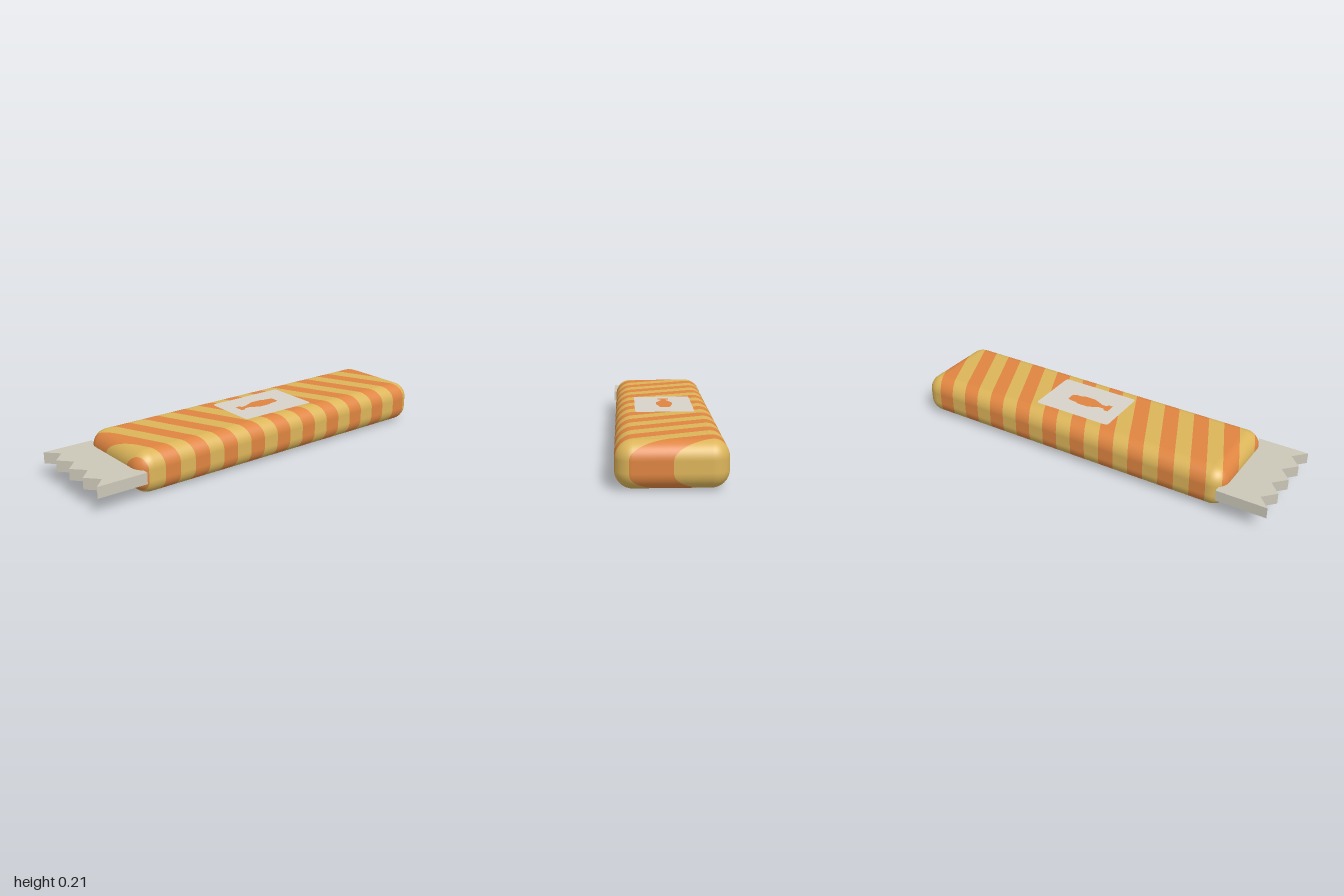
import * as THREE from 'three';
import { RoundedBoxGeometry } from 'three/addons/geometries/RoundedBoxGeometry.js';

const paint = (name, color, side = THREE.FrontSide) => {
  const m = new THREE.MeshStandardMaterial({ color, side });
  m.name = name;
  return m;
};

// Diagonal stripes: bands of (z + SLOPE * x), alternating every BAND
const SLOPE = 0.445, BAND = 0.0832, START = 0.7455;
const across = (v) => (v[2] + SLOPE * v[0] - START) / BAND;

// Keep the part of a polygon where sign * (across - limit) >= 0
function clip(poly, limit, sign) {
  const out = [];
  poly.forEach((a, i) => {
    const b = poly[(i + 1) % poly.length];
    const da = sign * (across(a) - limit), db = sign * (across(b) - limit);
    if (da >= 0) out.push(a);
    if ((da > 0 && db < 0) || (da < 0 && db > 0)) {
      const t = da / (da - db);
      out.push(a.map((n, k) => n + (b[k] - n) * t));
    }
  });
  return out;
}

// Cut a geometry along the stripe edges into two geometries: even and odd bands
function splitIntoStripes(source) {
  const geo = source.index ? source.toNonIndexed() : source;
  const p = geo.attributes.position, n = geo.attributes.normal;
  const lists = [[], []];
  for (let i = 0; i < p.count; i += 3) {
    const tri = [i, i + 1, i + 2].map((j) =>
      [p.getX(j), p.getY(j), p.getZ(j), n.getX(j), n.getY(j), n.getZ(j)]);
    const s = tri.map(across);
    for (let band = Math.floor(Math.min(...s)); band <= Math.max(...s); band++) {
      const poly = clip(clip(tri, band, 1), band + 1, -1);
      for (let k = 1; k + 1 < poly.length; k++) {
        lists[Math.abs(band % 2)].push(poly[0], poly[k], poly[k + 1]);
      }
    }
  }
  return lists.map((list) => {
    const g = new THREE.BufferGeometry();
    g.setAttribute('position', new THREE.Float32BufferAttribute(list.flatMap((v) => v.slice(0, 3)), 3));
    g.setAttribute('normal', new THREE.Float32BufferAttribute(list.flatMap((v) => v.slice(3)), 3));
    return g;
  });
}

function roundedRect(x0, y0, x1, y1, r) {
  const s = new THREE.Shape();
  s.absarc(x1 - r, y1 - r, r, 0, Math.PI / 2);
  s.absarc(x0 + r, y1 - r, r, Math.PI / 2, Math.PI);
  s.absarc(x0 + r, y0 + r, r, Math.PI, Math.PI * 1.5);
  s.absarc(x1 - r, y0 + r, r, Math.PI * 1.5, Math.PI * 2);
  s.closePath();
  return s;
}

export function createModel() {
  const model = new THREE.Group();
  model.name = 'snackBar';
  const orange = paint('orange', 0xdf8541, THREE.DoubleSide);
  const yellow = paint('yellow', 0xdcb55a);
  const paper = paint('labelGrey', 0xd8d2c9, THREE.DoubleSide);
  const foil = paint('wrapperGrey', 0xcbc7b8);
  const add = (name, geometry, material, parent = model) => {
    const mesh = new THREE.Mesh(geometry, material);
    mesh.name = name;
    parent.add(mesh);
    return mesh;
  };

  // Rounded bar with diagonal stripes
  const bar = new RoundedBoxGeometry(0.482, 0.208, 1.773, 7, 0.078);
  bar.translate(0, 0.107, -0.1135);
  const [even, odd] = splitIntoStripes(bar);
  add('yellowStripes', even, yellow);
  add('orangeStripes', odd, orange);

  // Label and drumstick picture, on top and underneath
  const label = new THREE.ShapeGeometry(roundedRect(-0.14, -0.095, 0.145, 0.33, 0.015)).rotateX(-Math.PI / 2);
  const half = [[0.022, 0.21], [0.03, 0.19], [0.032, 0.16], [0.04, 0.14], [0.04, 0.085],
    [0.03, 0.06], [0.022, 0.04], [0.015, 0.03], [0.013, 0.0], [0.027, -0.005], [0.027, -0.03]];
  const outline = [...half, ...half.map(([x, y]) => [-x, y]).reverse()]
    .map(([x, y]) => new THREE.Vector2(x - 0.003, y));
  const drumstick = new THREE.ShapeGeometry(new THREE.Shape(outline)).rotateX(-Math.PI / 2);
  for (const [side, y, out] of [['top', 0.211, 1], ['bottom', 0.003, -1]]) {
    add(side + 'Label', label, paper).position.y = y + out * 0.0015;
    add(side + 'Drumstick', drumstick, orange).position.y = y + out * 0.003;
  }

  // Flat wrapper end with a zigzag edge
  const tab = new THREE.Shape();
  tab.moveTo(-0.254, -0.745);
  for (let i = 0; i <= 8; i++) tab.lineTo(-0.254 + i * 0.0635, i % 2 ? -0.94 : -1);
  tab.lineTo(0.254, -0.745);
  tab.closePath();
  const tabGeometry = new THREE.ExtrudeGeometry(tab, { depth: 0.056, bevelEnabled: false });
  tabGeometry.rotateX(-Math.PI / 2).translate(0, 0.079, 0);
  add('wrapperEnd', tabGeometry, foil);

  return model;
}
